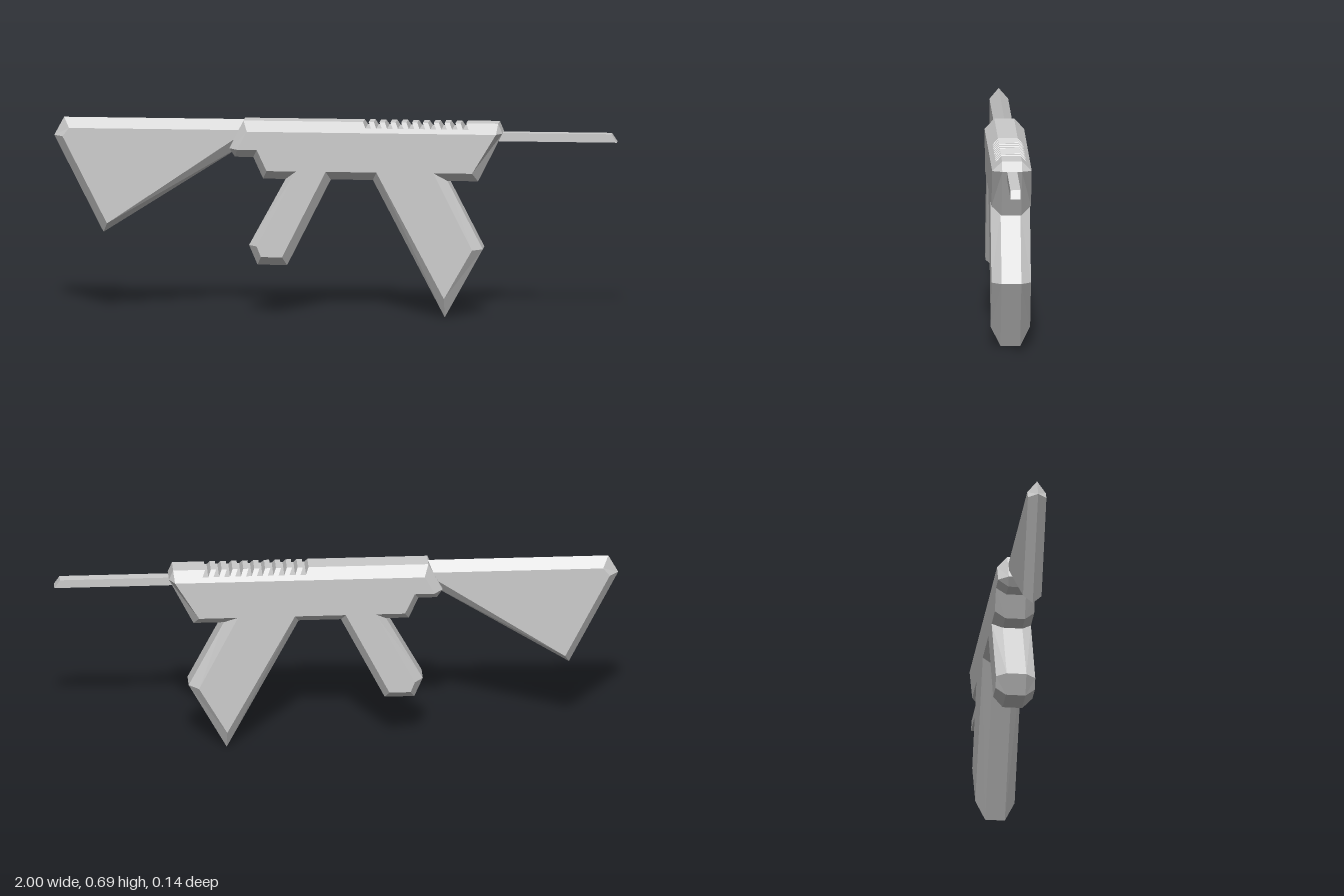
import * as THREE from 'three';

const material = new THREE.MeshStandardMaterial({ color: 0xcccccc, flatShading: true });

// Bevelled slab. Each row, clockwise as seen from +z: [rim x, rim y, face x, face y, rim half-width].
function bevelledSlab(rows, faceZ, rimZ) {
  const pos = [];
  const tri = (...p) => p.forEach((v) => pos.push(v.x, v.y, v.z));
  const quad = (a, b, c, d) => { tri(a, b, c); tri(a, c, d); };
  const V = (x, y, z) => new THREE.Vector3(x, y, z);
  const rim = (r, s) => V(r[0], r[1], s * (r[4] ?? rimZ));
  const face = (r, s) => V(r[2], r[3], s * faceZ);

  // bevels and rim strip
  rows.forEach((a, i) => {
    const b = rows[(i + 1) % rows.length];
    quad(rim(a, 1), face(a, 1), face(b, 1), rim(b, 1));
    quad(rim(a, -1), rim(b, -1), face(b, -1), face(a, -1));
    if (rimZ > 0) quad(rim(a, 1), rim(b, 1), rim(b, -1), rim(a, -1));
  });

  // flat faces, without repeated points
  const cap = rows.map((r) => new THREE.Vector2(r[2], r[3]))
    .filter((p, i, all) => p.distanceTo(all[(i + 1) % all.length]) > 1e-5);
  for (const f of THREE.ShapeUtils.triangulateShape(cap, [])) {
    let [a, b, c] = f.map((i) => cap[i]);
    if ((b.x - a.x) * (c.y - a.y) - (b.y - a.y) * (c.x - a.x) < 0) [b, c] = [c, b];
    tri(...[a, b, c].map((p) => V(p.x, p.y, faceZ)));
    tri(...[a, c, b].map((p) => V(p.x, p.y, -faceZ)));
  }

  const geo = new THREE.BufferGeometry();
  geo.setAttribute('position', new THREE.Float32BufferAttribute(pos, 3));
  geo.computeVertexNormals();
  return geo;
}

// Slanted cooling slots cut across the top ridge, following the bevel slope.
function topSlots() {
  const rows = [], width = 0.02, lean = 0.01;
  for (let i = 0; i < 10; i++) {
    const x = 0.1 + i * 0.0385, e = x + width;
    rows.push(
      [x, 0.695, x + 1.75 * lean, 0.66],
      [x + lean, 0.675, x + 1.75 * lean, 0.66, 0.055],
      [e + lean, 0.675, e + 1.75 * lean, 0.66, 0.055],
      [e, 0.695, e + 1.75 * lean, 0.66],
    );
  }
  return rows;
}

export function createModel() {
  const group = new THREE.Group();
  const add = (name, geometry) => {
    const mesh = new THREE.Mesh(geometry, material);
    mesh.name = name;
    group.add(mesh);
  };

  // receiver with magazine and grip in one outline
  add('body', bevelledSlab([
    [-0.325, 0.695, -0.31, 0.66],
    ...topSlots(),
    [0.58, 0.695, 0.575, 0.66],
    [0.595, 0.66, 0.575, 0.66],
    [0.508, 0.488, 0.49, 0.52],
    // magazine
    [0.4, 0.488, 0.352, 0.52],
    [0.525, 0.245, 0.49, 0.245],
    [0.39, 0, 0.39, 0.07],
    [0.135, 0.488, 0.15, 0.52],
    // grip
    [-0.015, 0.488, -0.03, 0.52],
    [-0.17, 0.18, -0.185, 0.212],
    [-0.275, 0.18, -0.26, 0.212],
    [-0.305, 0.25, -0.275, 0.25],
    [-0.175, 0.488, -0.135, 0.52],
    // stepped rear
    [-0.255, 0.488, -0.24, 0.52],
    [-0.29, 0.565, -0.275, 0.595],
    [-0.355, 0.565, -0.345, 0.595],
    [-0.375, 0.595, -0.345, 0.595],
  ], 0.07, 0.035));

  // stock with knife-edged rim
  add('stock', bevelledSlab([
    [-0.965, 0.695, -0.945, 0.66],
    [-0.3, 0.695, -0.31, 0.66],
    [-0.3, 0.62, -0.31, 0.66],
    [-0.825, 0.285, -0.81, 0.32],
    [-1, 0.63, -0.968, 0.63],
  ], 0.033, 0));

  // square barrel with slanted muzzle
  const side = new THREE.Shape([[0.55, 0.63], [1, 0.63], [0.98, 0.66], [0.55, 0.66]]
    .map(([x, y]) => new THREE.Vector2(x, y)));
  const barrel = new THREE.ExtrudeGeometry(side, { depth: 0.036, bevelEnabled: false });
  add('barrel', barrel.translate(0, 0, -0.018));

  return group;
}
